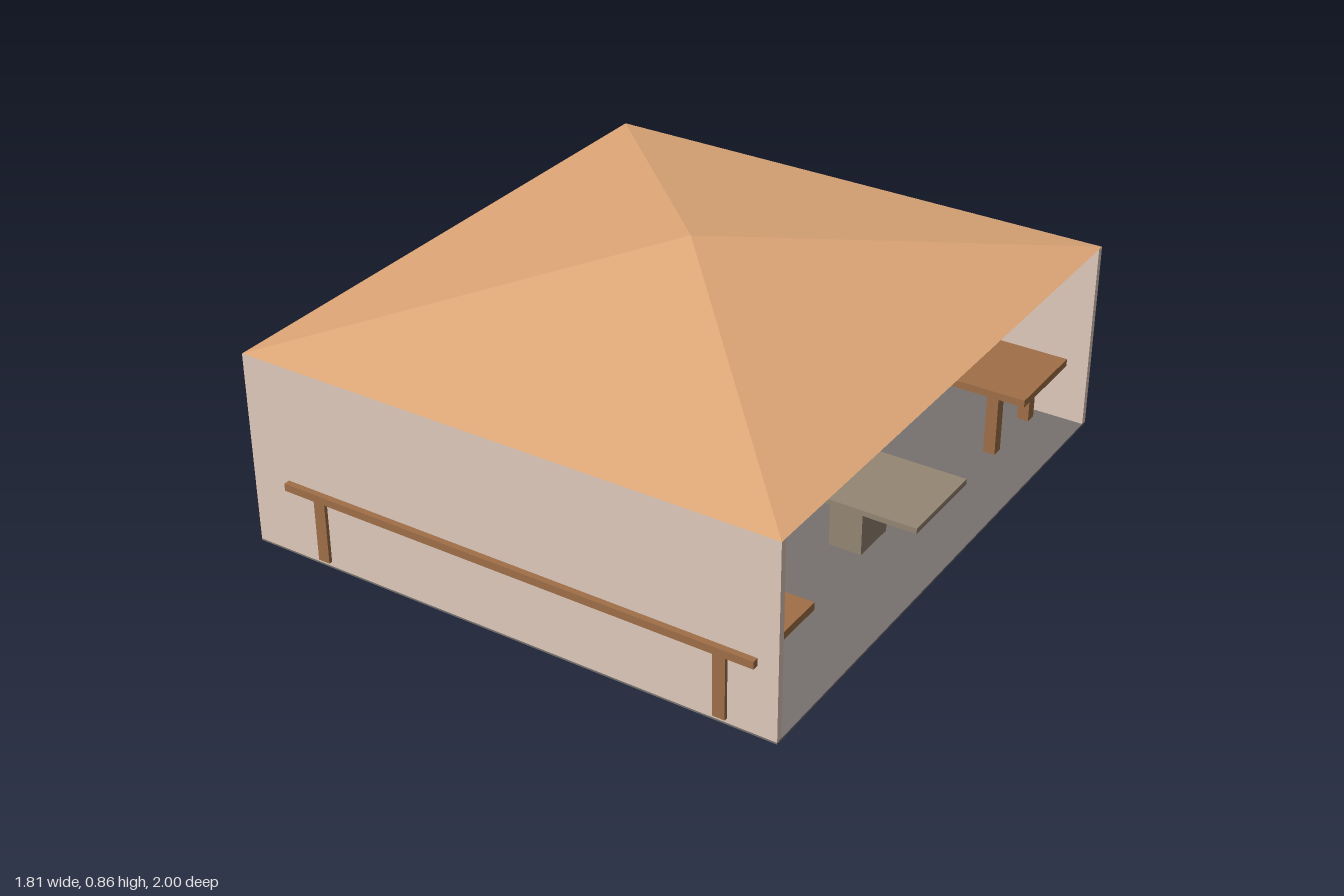
import * as THREE from 'three';

const mat = (color, extra = {}) => new THREE.MeshStandardMaterial({ color, ...extra });

export function createModel() {
  const model = new THREE.Group();
  const wallMat = mat(0xe0cabc);
  const woodMat = mat(0xa06f48);
  const stoneMat = mat(0x958674);
  const floorMat = mat(0x777270);
  const roofMat = mat(0xe0a878, { flatShading: true, side: THREE.DoubleSide });

  // Box given by its limits along each axis
  function box(parent, name, material, [x0, x1], [y0, y1], [z0, z1]) {
    const mesh = new THREE.Mesh(new THREE.BoxGeometry(x1 - x0, y1 - y0, z1 - z0), material);
    mesh.position.set((x0 + x1) / 2, (y0 + y1) / 2, (z0 + z1) / 2);
    mesh.name = name;
    parent.add(mesh);
  }

  // Floor and three walls, open on the +x side
  const X = 0.905, eaves = 0.645, back = -1, front = 0.98, t = 0.022;
  box(model, 'floor', floorMat, [-X, X], [0, 0.006], [back, front]);
  box(model, 'frontWall', wallMat, [-X, X], [0.006, eaves], [front - t, front]);
  box(model, 'backWall', wallMat, [-X, X], [0.006, eaves], [back, back + t]);
  box(model, 'sideWall', wallMat, [-X, -X + t], [0.006, eaves], [back + t, front - t]);

  // Hollow pyramid roof
  const roofGeo = new THREE.ConeGeometry(Math.SQRT1_2, 1, 4, 1, true);
  roofGeo.rotateY(Math.PI / 4).scale(2 * X, 0.21, front - back);
  const roof = new THREE.Mesh(roofGeo, roofMat);
  roof.position.set(0, eaves + 0.105, (front + back) / 2);
  roof.name = 'roof';
  model.add(roof);

  // Long bench with four square legs
  function bench(name, z0, foot) {
    const group = new THREE.Group();
    group.name = name;
    const seat = foot + 0.211;
    box(group, 'benchTop', woodMat, [-0.77, 0.84], [seat, seat + 0.025], [z0, z0 + 0.318]);
    for (const x of [-0.668, 0.708])
      for (const z of [z0 + 0.02, z0 + 0.27])
        box(group, 'benchLeg', woodMat, [x, x + 0.04], [foot, seat], [z, z + 0.04]);
    model.add(group);
  }
  bench('frontBench', 0.682, 0.022);
  bench('backBench', -0.957, 0.004);

  // Central table on two block pedestals
  const table = new THREE.Group();
  table.name = 'table';
  box(table, 'tableTop', stoneMat, [-0.725, 0.886], [0.21, 0.228], [-0.146, 0.172]);
  for (const x of [-0.51, 0.56])
    box(table, 'tablePedestal', stoneMat, [x, x + 0.11], [0.015, 0.21], [-0.062, 0.096]);
  model.add(table);

  return model;
}
